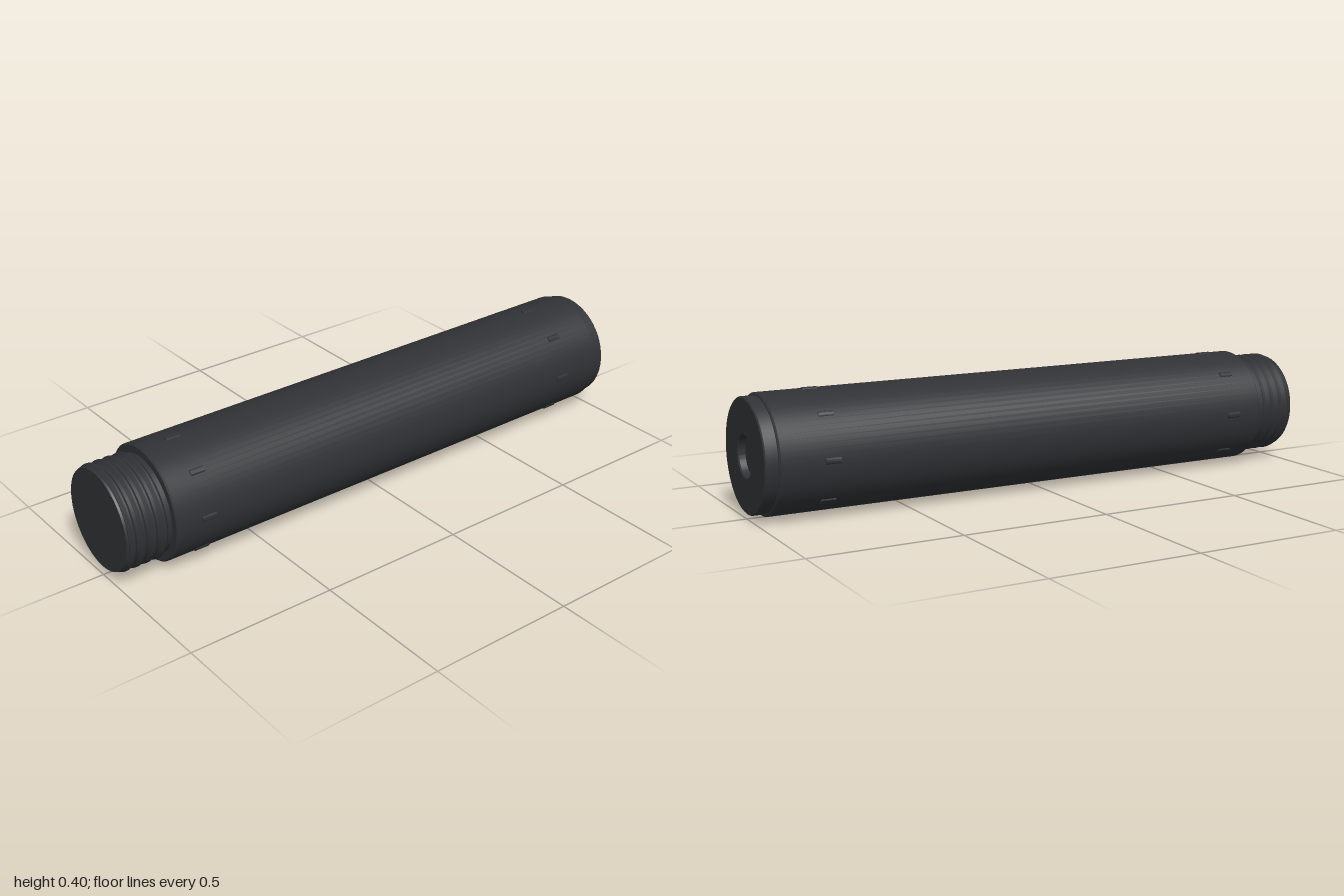
import * as THREE from 'three';
import { toCreasedNormals } from 'three/addons/utils/BufferGeometryUtils.js';

const AXIS_Y = 0.2;
const dark = new THREE.MeshStandardMaterial({ color: 0x303235 });

// Turned part along z from [radius, z] pairs, listed back to front
function turned(name, profile) {
  const lathe = new THREE.LatheGeometry(profile.map(([r, z]) => new THREE.Vector2(r, z)), 64);
  lathe.rotateX(Math.PI / 2);
  const mesh = new THREE.Mesh(toCreasedNormals(lathe, Math.PI / 7), dark);
  mesh.name = name;
  return mesh;
}

export function createModel() {
  const group = new THREE.Group();
  group.name = 'tube';

  // Main tube with small chamfers
  group.add(turned('body', [
    [0, -0.957], [0.189, -0.957], [0.194, -0.952], [0.194, 0.835], [0.189, 0.84], [0, 0.84],
  ]));

  // Rear cap with a shallow round recess
  group.add(turned('rearCap', [
    [0, -0.975], [0.066, -0.975], [0.066, -0.996], [0.07, -1],
    [0.181, -1], [0.185, -0.996], [0.185, -0.95],
  ]));

  // Threaded front end: evenly spaced ridges on a core
  const thread = [[0.165, 0.83]];
  for (let i = 0; i < 4; i++) {
    const z = 0.868 + i * 0.036;
    thread.push([0.165, z - 0.013], [0.175, z - 0.003], [0.175, z + 0.003], [0.165, z + 0.013]);
  }
  thread.push([0.17, 0.993], [0.167, 1], [0, 1]);
  group.add(turned('threadedEnd', thread));

  // Two rings of eight small raised lugs
  const lug = new THREE.CylinderGeometry(0.012, 0.012, 0.05, 12);
  lug.rotateX(Math.PI / 2);
  const lugGeometry = toCreasedNormals(lug, Math.PI / 4);
  for (const [name, z] of [['frontLugs', 0.725], ['rearLugs', -0.785]]) {
    const ring = new THREE.Group();
    ring.name = name;
    for (let i = 0; i < 8; i++) {
      const a = (i * Math.PI) / 4;
      const mesh = new THREE.Mesh(lugGeometry, dark);
      mesh.name = 'lug';
      mesh.position.set(0.187 * Math.cos(a), 0.187 * Math.sin(a), z);
      mesh.rotation.z = a;
      ring.add(mesh);
    }
    group.add(ring);
  }

  group.position.y = AXIS_Y;
  const model = new THREE.Group();
  model.add(group);
  return model;
}
